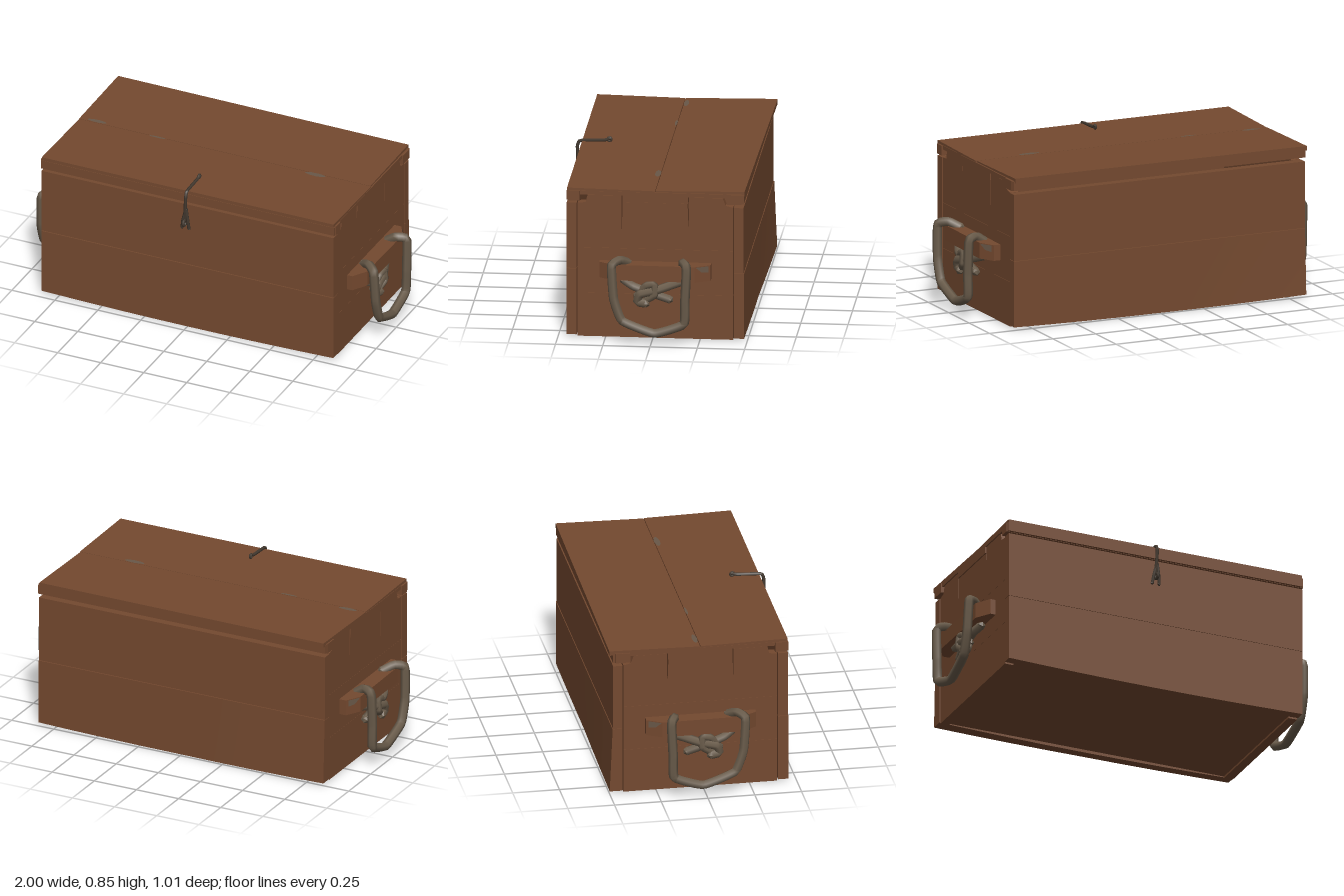
import * as THREE from 'three';

const wood = new THREE.MeshStandardMaterial({ color: 0x74492f });
wood.name = 'brownWood';
const rope = new THREE.MeshStandardMaterial({ color: 0x6a5c4b });
rope.name = 'rope';
const cordMat = new THREE.MeshStandardMaterial({ color: 0x453b31 });
cordMat.name = 'darkCord';
const worn = new THREE.MeshStandardMaterial({ color: 0x695848, side: THREE.DoubleSide });
worn.name = 'wornPatch';

function add(parent, name, geometry, material) {
  const mesh = new THREE.Mesh(geometry, material);
  mesh.name = name;
  parent.add(mesh);
  return mesh;
}

// Board given by its extents, optionally warped by a rule on its vertices
function board(parent, name, [x0, x1], [y0, y1], [z0, z1], warp) {
  const g = new THREE.BoxGeometry(x1 - x0, y1 - y0, z1 - z0, warp ? 8 : 1, warp ? 2 : 1, 1);
  g.translate((x0 + x1) / 2, (y0 + y1) / 2, (z0 + z1) / 2);
  if (warp) {
    const p = g.attributes.position, v = new THREE.Vector3();
    for (let i = 0; i < p.count; i++) {
      v.fromBufferAttribute(p, i);
      warp(v);
      p.setXYZ(i, v.x, v.y, v.z);
    }
    g.computeVertexNormals();
  }
  return add(parent, name, g, wood);
}

// Capped rope through a few points
function cord(parent, name, points, radius, material, sides = 6) {
  const path = points.map(p => new THREE.Vector3(...p));
  const curve = new THREE.CatmullRomCurve3(path, false, 'catmullrom', 0.2);
  add(parent, name, new THREE.TubeGeometry(curve, points.length * 6, radius, sides), material);
  for (const end of [path[0], path[path.length - 1]]) {
    add(parent, name + 'End', new THREE.IcosahedronGeometry(radius, 0), material).position.copy(end);
  }
}

function buildBody() {
  const body = new THREE.Group();
  body.name = 'body';
  // Front and back walls, two planks each
  const sag = v => { if (v.y < 0.05) v.y += 0.012 * (v.x / 0.85) ** 2; };
  const flare = v => {
    sag(v);
    if (v.z < -0.46) v.z -= 0.016 * Math.max(0, 1 - v.y / 0.36) * Math.max(0, -v.x / 0.85);
  };
  board(body, 'frontLowerPlank', [-0.848, 0.848], [0, 0.374], [0.402, 0.457], sag);
  board(body, 'frontUpperPlank', [-0.848, 0.848], [0.377, 0.737], [0.402, 0.455]);
  board(body, 'backLowerPlank', [-0.848, 0.848], [0, 0.368], [-0.483, -0.43], flare);
  board(body, 'backUpperPlank', [-0.848, 0.848], [0.37, 0.73], [-0.48, -0.43]);
  board(body, 'floor', [-0.8, 0.8], [0.015, 0.05], [-0.428, 0.4]);

  // End walls: two plain planks and a top plank with raised tabs and wedge cracks
  const outline = [
    [0.397, 0.492], [0.397, 0.735], [0.355, 0.74], [0.345, 0.78], [0.165, 0.78],
    [0.164, 0.595], [0.158, 0.745], [-0.184, 0.745], [-0.19, 0.595], [-0.192, 0.78],
    [-0.37, 0.78], [-0.385, 0.74], [-0.425, 0.73], [-0.425, 0.492]
  ].map(p => new THREE.Vector2(...p));
  for (const s of [-1, 1]) {
    const xs = s > 0 ? [0.795, 0.845] : [-0.845, -0.795];
    board(body, 'endLowerPlank', xs, [0.004, 0.244], [-0.425, 0.397]);
    board(body, 'endMiddlePlank', xs, [0.245, 0.491], [-0.425, 0.397]);
    const g = new THREE.ExtrudeGeometry(new THREE.Shape(outline), { depth: 0.05, bevelEnabled: false });
    g.rotateY(-Math.PI / 2).translate(xs[1], 0, 0);
    add(body, 'endTopPlank', g, wood);
  }
  return body;
}

function buildLid() {
  const lid = new THREE.Group();
  lid.name = 'lid';
  // Two thin top boards, the back one slightly skewed
  const cup = v => { v.y += 0.008 * Math.abs(v.z) / 0.45; };
  const skew = v => { cup(v); if (v.z < -0.4) v.z -= 0.008 * (1 - v.x / 0.85); };
  board(lid, 'topFrontBoard', [-0.848, 0.848], [0.785, 0.81], [-0.012, 0.453], cup);
  board(lid, 'topBackBoard', [-0.85, 0.843], [0.785, 0.81], [-0.485, -0.015], skew);
  // Rim battens on all four sides
  board(lid, 'frontBatten', [-0.857, 0.857], [0.75, 0.803], [0.385, 0.443]);
  board(lid, 'frontLip', [-0.852, 0.852], [0.752, 0.8], [0.443, 0.456]);
  board(lid, 'backBatten', [-0.857, 0.857], [0.75, 0.803], [-0.47, -0.39]);
  board(lid, 'backLip', [-0.852, 0.852], [0.752, 0.8], [-0.482, -0.47]);
  for (const s of [-1, 1]) {
    const xs = s > 0 ? [0.79, 0.85] : [-0.85, -0.79];
    board(lid, 'endRail', xs, [0.747, 0.803], [-0.188, 0.157]);
    board(lid, 'endStrip', xs, [0.783, 0.803], [-0.39, 0.385]);
  }
  return lid;
}

// Grip block with a hanging rope loop and the knot beneath it
function buildHandle(s) {
  const handle = new THREE.Group();
  handle.name = s > 0 ? 'leftHandle' : 'rightHandle';
  const shape = new THREE.Shape([
    [0.845, 0.28], [0.875, 0.28], [0.925, 0.2], [0.93, -0.23], [0.885, -0.31], [0.845, -0.31]
  ].map(([x, z]) => new THREE.Vector2(s * x, -z)));
  const g = new THREE.ExtrudeGeometry(shape, { depth: 0.085, bevelEnabled: false });
  g.rotateX(-Math.PI / 2).translate(0, 0.338, 0);
  add(handle, 'gripBlock', g, wood);

  const strand = (name, pts, r) => cord(handle, name, pts.map(([x, y, z]) => [s * x, y, z]), r, rope);
  strand('ropeLoop', [
    [0.87, 0.42, 0.13], [0.92, 0.448, 0.17], [0.965, 0.43, 0.207], [0.972, 0.25, 0.195],
    [0.972, 0.13, 0.15], [0.968, 0.065, -0.02], [0.972, 0.12, -0.175], [0.975, 0.25, -0.182],
    [0.972, 0.43, -0.19], [0.92, 0.443, -0.165], [0.87, 0.41, -0.165]
  ], 0.025);
  strand('knotStrand', [
    [0.87, 0.325, 0.15], [0.895, 0.3, 0.1], [0.9, 0.265, 0], [0.885, 0.23, -0.09]
  ], 0.024);
  strand('knotStrand', [
    [0.87, 0.335, -0.18], [0.89, 0.305, -0.09], [0.915, 0.285, -0.02],
    [0.92, 0.265, 0.06], [0.91, 0.22, 0.075], [0.92, 0.215, 0.03]
  ], 0.024);
  strand('knotTurn', [
    [0.9, 0.25, 0.08], [0.915, 0.31, 0.03], [0.92, 0.32, -0.015],
    [0.925, 0.26, -0.015], [0.905, 0.22, 0.04]
  ], 0.02);
  return handle;
}

// Thin cord that hangs over the front of the lid
function buildLatch() {
  const latch = new THREE.Group();
  latch.name = 'latch';
  cord(latch, 'latchCord', [
    [0, 0.838, 0.305], [0, 0.828, 0.33], [0, 0.824, 0.42], [0, 0.82, 0.466],
    [0, 0.79, 0.478], [-0.005, 0.7, 0.475], [-0.008, 0.64, 0.47]
  ], 0.009, cordMat, 5);
  for (const x of [-0.026, 0.014]) {
    cord(latch, 'cordTail', [[0, 0.72, 0.472], [x * 0.7, 0.65, 0.472], [x, 0.6, 0.467]], 0.009, cordMat, 5);
  }
  const knot = add(latch, 'latchKnot', new THREE.TorusGeometry(0.016, 0.008, 5, 8), cordMat);
  knot.rotation.y = Math.PI / 2;
  knot.position.set(-0.006, 0.638, 0.482);
  const tip = add(latch, 'latchTip', new THREE.TorusGeometry(0.011, 0.006, 5, 8), cordMat);
  tip.rotation.y = Math.PI / 2;
  tip.position.set(0, 0.832, 0.308);
  return latch;
}

// Small worn spots, flush with the wood
function buildPatches() {
  const patches = new THREE.Group();
  patches.name = 'wornPatches';
  for (const [x, z, w, h] of [[0.53, 0.001, 0.06, 0.016], [-0.75, -0.028, 0.055, 0.014], [-0.39, -0.008, 0.05, 0.007]]) {
    const spot = add(patches, 'topSpot', new THREE.CircleGeometry(1, 9), worn);
    spot.scale.set(w, h, 1);
    spot.rotation.x = -Math.PI / 2;
    spot.position.set(x, 0.8125, z);
  }
  for (const s of [-1, 1]) {
    const shape = new THREE.Shape([[-0.235, 0.42], [-0.3, 0.42], [-0.3, 0.385], [-0.265, 0.39]]
      .map(([z, y]) => new THREE.Vector2(-z, y)));
    // Follow the slanted end of the grip block
    const g = new THREE.ShapeGeometry(shape);
    const p = g.attributes.position;
    for (let i = 0; i < p.count; i++) {
      const z = -p.getX(i);
      p.setXYZ(i, s * (0.933 + (z + 0.23) * 0.5625), p.getY(i), z);
    }
    g.computeVertexNormals();
    add(patches, 'gripSpot', g, worn);
  }
  return patches;
}

export function createModel() {
  const chest = new THREE.Group();
  chest.name = 'chest';
  chest.add(buildBody(), buildLid(), buildHandle(1), buildHandle(-1), buildLatch(), buildPatches());
  return chest;
}
